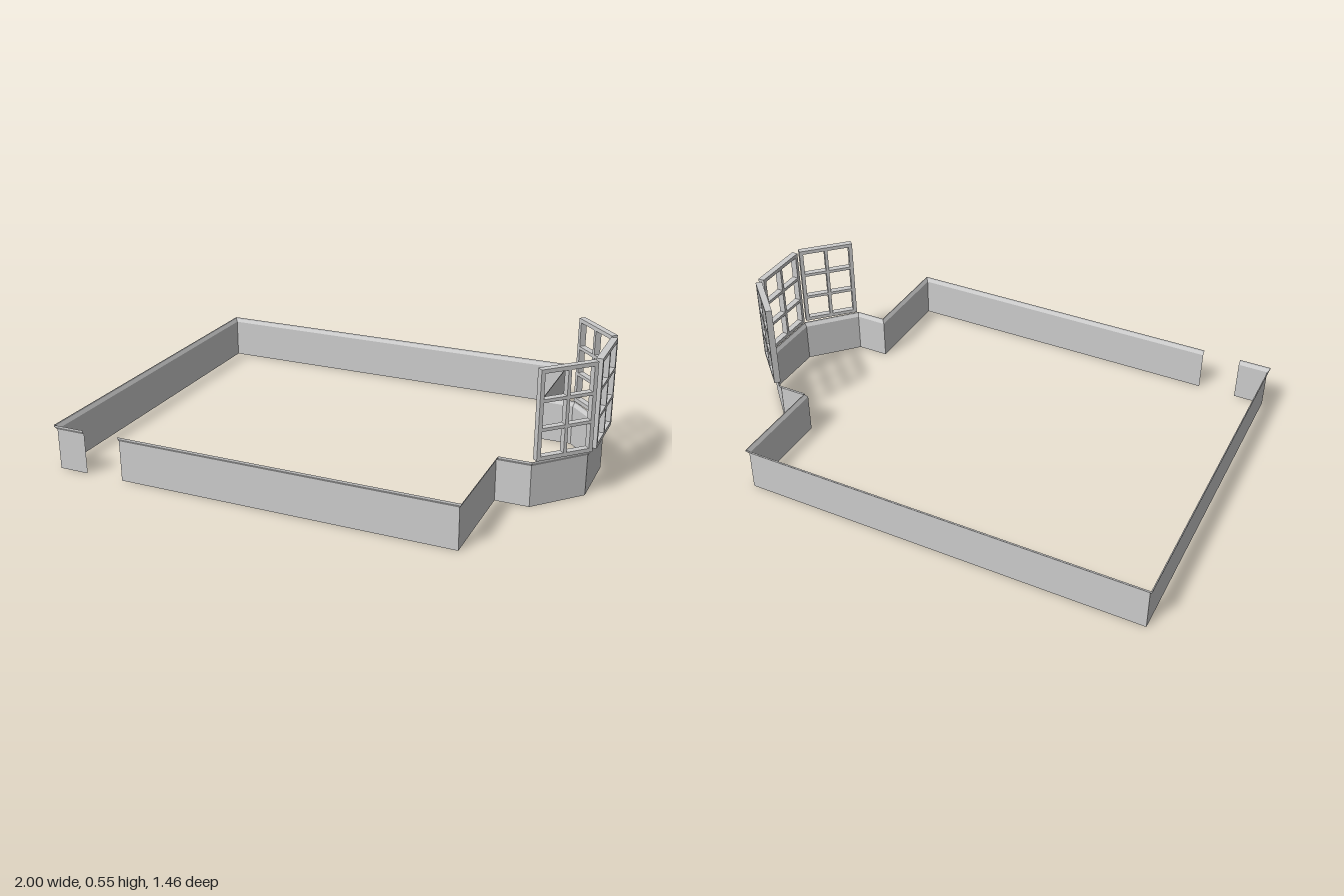
import * as THREE from 'three';

// Plan of the wall, from one side of the doorway round to the other: [x, z]
const PLAN = [
  [-0.705, 0.72], [0.669, 0.72], [0.669, 0.308], [0.803, 0.308], [0.969, 0.131],
  [0.969, -0.131], [0.803, -0.308], [0.669, -0.308], [0.669, -0.72],
  [-0.99, -0.72], [-0.99, 0.72], [-0.865, 0.72],
];
// Wall section: [outward offset, height]
const WALL = [[0, 0], [0, 0.167]];
const LEDGE = [[0, 0.167], [0.009, 0.18], [0.009, 0.187]];

// Sweep a section along the plan as a thin sheet with mitred corners
function sweep(plan, section) {
  const normals = plan.slice(1).map(([x, z], i) => {
    const d = new THREE.Vector2(x - plan[i][0], z - plan[i][1]).normalize();
    return new THREE.Vector2(-d.y, d.x);
  });
  const corners = plan.map((p, i) => {
    const a = normals[Math.max(i - 1, 0)];
    const b = normals[Math.min(i, normals.length - 1)];
    const mitre = a.clone().add(b).divideScalar(1 + a.dot(b));
    return section.map(([o, y]) => [p[0] + mitre.x * o, y, p[1] + mitre.y * o]);
  });
  const pos = [];
  for (let i = 0; i < corners.length - 1; i++) {
    for (let j = 0; j < section.length - 1; j++) {
      const a = corners[i][j], b = corners[i + 1][j];
      const c = corners[i + 1][j + 1], d = corners[i][j + 1];
      pos.push(...a, ...b, ...c, ...a, ...c, ...d);
    }
  }
  const g = new THREE.BufferGeometry();
  g.setAttribute('position', new THREE.Float32BufferAttribute(pos, 3));
  g.computeVertexNormals();
  return g;
}

// Window frame with a grid of open panes, centred in x and z, standing on y = 0
function windowGeometry(width, height, depth, cols = 2, rows = 3) {
  const frame = 0.016, bar = 0.013;
  const shape = new THREE.Shape();
  shape.moveTo(-width / 2, 0).lineTo(width / 2, 0).lineTo(width / 2, height).lineTo(-width / 2, height).closePath();
  const pw = (width - 2 * frame - (cols - 1) * bar) / cols;
  const ph = (height - 2 * frame - (rows - 1) * bar) / rows;
  for (let i = 0; i < cols; i++) {
    for (let j = 0; j < rows; j++) {
      const x = -width / 2 + frame + i * (pw + bar);
      const y = frame + j * (ph + bar);
      const hole = new THREE.Path();
      hole.moveTo(x, y).lineTo(x, y + ph).lineTo(x + pw, y + ph).lineTo(x + pw, y).closePath();
      shape.holes.push(hole);
    }
  }
  return new THREE.ExtrudeGeometry(shape, { depth, bevelEnabled: false }).translate(0, 0, -depth / 2);
}

export function createModel() {
  const model = new THREE.Group();
  model.name = 'lowWallWithBayWindow';
  const plaster = new THREE.MeshStandardMaterial({ color: 0xcccccc, side: THREE.DoubleSide });
  plaster.name = 'pale grey';

  const add = (name, geometry) => {
    const mesh = new THREE.Mesh(geometry, plaster);
    mesh.name = name;
    model.add(mesh);
    return mesh;
  };

  // Low wall and its flared top ledge
  add('lowWall', sweep(PLAN, WALL));
  add('flaredLedge', sweep(PLAN, LEDGE));

  // Three windows standing on the bay: [name, width, x, z, turn]
  const windows = [
    ['frontBayWindow', 0.234, 0.898, 0.23, Math.PI / 4],
    ['middleBayWindow', 0.25, 0.985, 0, Math.PI / 2],
    ['backBayWindow', 0.234, 0.898, -0.23, (3 * Math.PI) / 4],
  ];
  for (const [name, width, x, z, turn] of windows) {
    const mesh = add(name, windowGeometry(width, 0.355, 0.026));
    mesh.position.set(x, 0.195, z);
    mesh.rotation.y = turn;
  }
  return model;
}
